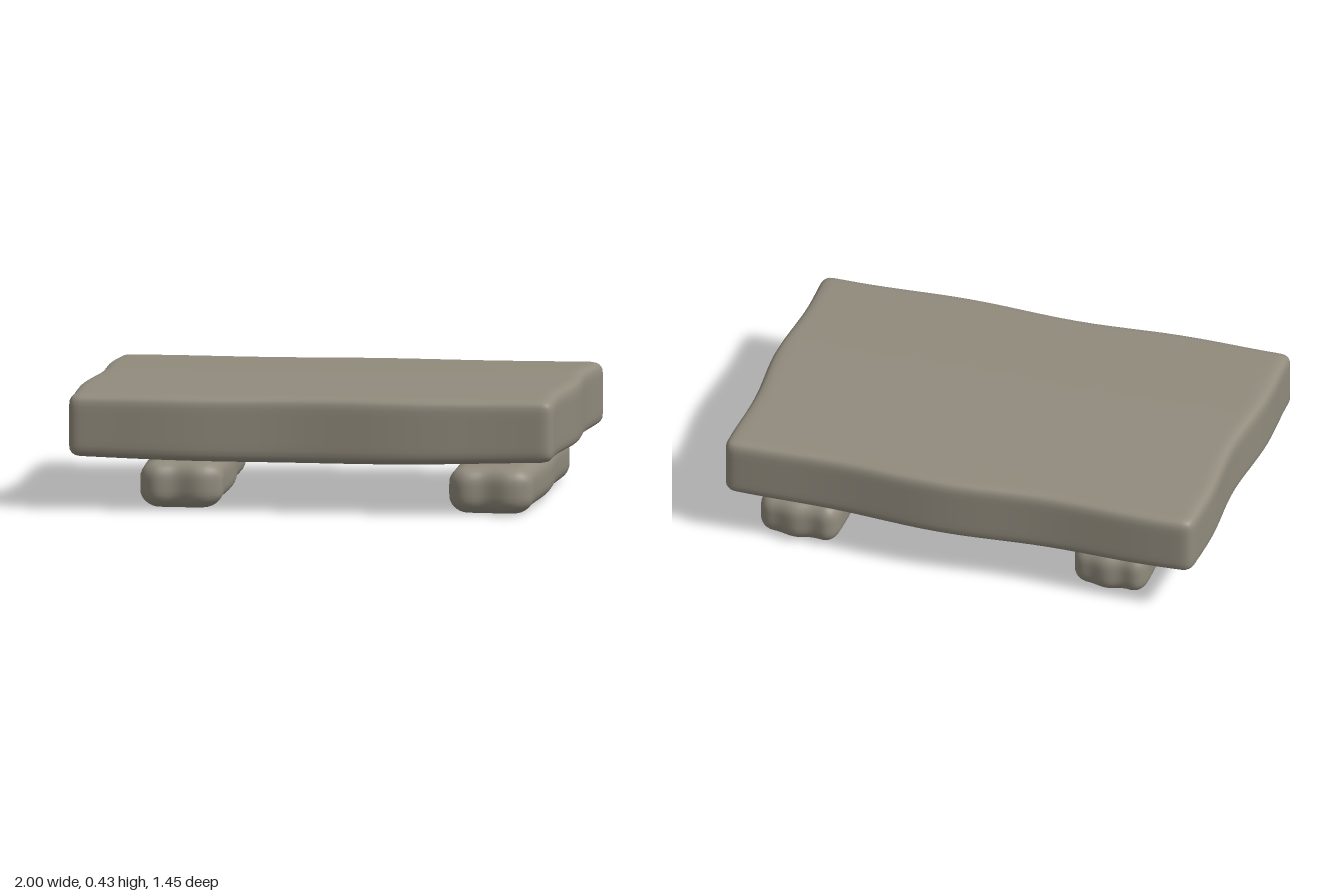
import * as THREE from 'three';
import { mergeVertices } from 'three/addons/utils/BufferGeometryUtils.js';

const stone = new THREE.MeshStandardMaterial({ color: 0x918b7d });
stone.name = 'weatheredStone';

// Rounded block stretched over four plan corners [x, z]:
// back left, back right, front right, front left (as seen from above)
function stoneBlock(name, corners, y0, y1, radius, wave, sag) {
  const [a, b, c, d] = corners.map(([x, z]) => new THREE.Vector2(x, z));
  const half = new THREE.Vector3(a.distanceTo(b) / 2, (y1 - y0) / 2, a.distanceTo(d) / 2);
  const inner = half.clone().subScalar(radius);
  let geo = new THREE.BoxGeometry(2, 2, 2, 40, 14, 40);
  geo.deleteAttribute('normal');
  geo.deleteAttribute('uv');
  geo = mergeVertices(geo);

  const pos = geo.attributes.position;
  const p = new THREE.Vector3(), q = new THREE.Vector3();
  const ease = (t) => Math.sin((t * Math.PI) / 2); // crowd vertices toward the edges
  for (let i = 0; i < pos.count; i++) {
    p.fromBufferAttribute(pos, i);
    p.set(ease(p.x), ease(p.y), ease(p.z)).multiply(half);
    q.copy(p).clamp(inner.clone().negate(), inner);
    p.sub(q).setLength(radius).add(q);

    // bilinear plan, with gently uneven edges
    const u = p.x / half.x, v = p.z / half.z;
    const s = (u + 1) / 2, t = (v + 1) / 2;
    const back = a.clone().lerp(b, s), front = d.clone().lerp(c, s);
    const plan = back.lerp(front, t);
    plan.x += wave * u * Math.sin(v * 5 + u) * (1 - v * v);
    plan.y += wave * v * Math.sin(u * 6 - v) * (1 - u * u);

    // underside lifts a little toward the ends, top dips toward the front and back
    const lift = p.y < 0 ? sag * u * u * (-p.y / half.y) : -sag * 0.7 * v * v * (p.y / half.y);
    pos.setXYZ(i, plan.x, (y0 + y1) / 2 + p.y + lift, plan.y);
  }
  geo.computeVertexNormals();
  const mesh = new THREE.Mesh(geo, stone);
  mesh.name = name;
  return mesh;
}

export function createModel() {
  const group = new THREE.Group();
  group.name = 'stoneBench';

  // Seat slab, turned slightly on its supports
  group.add(stoneBlock('seatSlab',
    [[-0.66, -0.735], [1.01, -0.272], [0.665, 0.735], [-1.01, 0.29]],
    0.18, 0.43, 0.04, 0.012, 0.016));

  // Two low supports running along the short sides
  group.add(stoneBlock('leftSupport',
    [[0.61, -0.345], [0.89, -0.26], [0.6, 0.665], [0.31, 0.575]],
    0, 0.17, 0.06, 0.008, 0.006));
  group.add(stoneBlock('rightSupport',
    [[-0.49, -0.625], [-0.23, -0.55], [-0.46, 0.335], [-0.75, 0.26]],
    0, 0.17, 0.06, 0.008, 0.006));

  return group;
}
